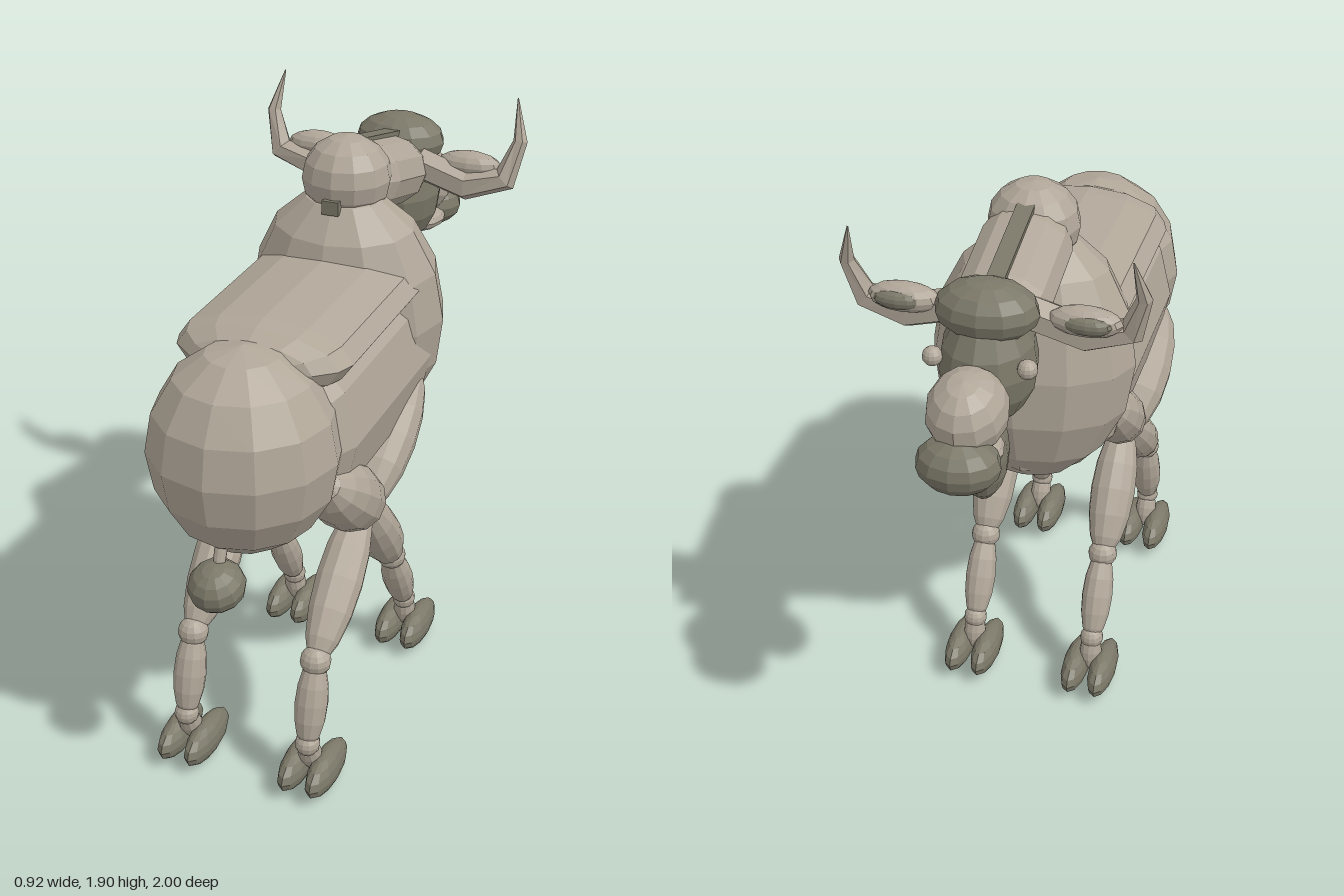
import * as THREE from 'three';

export function createModel() {
  const model = new THREE.Group();
  const mat = (name, color) => {
    const m = new THREE.MeshStandardMaterial({ color, flatShading: true });
    m.name = name;
    return m;
  };
  const hide = mat('pale hide', 0xb0a698);
  const dark = mat('dark hair and hoof', 0x7b7868);

  const add = (name, geometry, material, pos) => {
    const mesh = new THREE.Mesh(geometry, material);
    mesh.name = name;
    mesh.position.set(...pos);
    model.add(mesh);
    return mesh;
  };
  // Faceted ellipsoid, optionally pitched about x
  const blob = (name, material, pos, r, pitch = 0, ws = 12, hs = 8) => {
    const mesh = add(name, new THREE.SphereGeometry(1, ws, hs).scale(...r), material, pos);
    mesh.rotation.x = pitch;
    return mesh;
  };
  // Ellipsoid stretched between two points
  const limb = (name, material, a, b, radius, over = 0.03) => {
    const p = new THREE.Vector3(...a), q = new THREE.Vector3(...b);
    const d = q.clone().sub(p);
    const mesh = blob(name, material, p.clone().add(q).multiplyScalar(0.5).toArray(),
      [radius, d.length() / 2 + over, radius]);
    mesh.quaternion.setFromUnitVectors(new THREE.Vector3(0, 1, 0), d.normalize());
    return mesh;
  };
  // Capsule along z
  const capsuleZ = (name, pos, rx, ry, cap, length) =>
    add(name, new THREE.CapsuleGeometry(1, length / cap, 4, 12).rotateX(Math.PI / 2).scale(rx, ry, cap), hide, pos);

  // Trunk
  blob('rump', hide, [0, 1.18, 0.695], [0.295, 0.33, 0.29]);
  capsuleZ('barrel', [0, 1.17, 0.23], 0.3, 0.34, 0.14, 0.66);
  capsuleZ('backPad', [0, 1.425, 0.26], 0.28, 0.105, 0.16, 0.56);
  blob('belly', hide, [0, 1.01, 0.02], [0.24, 0.19, 0.33]);
  blob('chest', hide, [0, 1.29, -0.12], [0.33, 0.43, 0.25], 0.1);
  blob('hump', hide, [0, 1.74, -0.11], [0.145, 0.135, 0.14]);

  // Neck and mane strip
  const neck = capsuleZ('neck', [0, 1.675, -0.33], 0.145, 0.12, 0.12, 0.25);
  neck.rotation.x = -0.25;
  const mane = add('maneStrip', new THREE.BoxGeometry(0.055, 0.1, 0.4), dark, [0, 1.755, -0.33]);
  mane.rotation.x = -0.24;
  add('maneEnd', new THREE.BoxGeometry(0.055, 0.045, 0.1), dark, [0, 1.68, -0.015]);

  // Head
  blob('head', dark, [0, 1.53, -0.59], [0.145, 0.19, 0.165]);
  blob('poll', dark, [0, 1.705, -0.6], [0.155, 0.09, 0.115]);
  blob('muzzle', hide, [0, 1.49, -0.8], [0.12, 0.12, 0.135], -0.3);
  blob('nose', dark, [0, 1.375, -0.895], [0.125, 0.085, 0.103]);
  blob('lowerJaw', hide, [0, 1.355, -0.79], [0.1, 0.045, 0.11]);
  blob('beard', dark, [0, 1.245, -0.65], [0.07, 0.145, 0.11]);

  // Tail
  limb('tail', hide, [0, 1.0, 0.85], [0, 0.87, 0.9], 0.02);
  blob('tailTuft', dark, [0, 0.825, 0.912], [0.088, 0.073, 0.09], 0.3);

  // Horn: tapering hexagonal rings around a bent path
  const hornGeometry = (s) => {
    const path = [[0.1, 1.66, -0.51, 0.055], [0.27, 1.61, -0.505, 0.055], [0.4, 1.645, -0.51, 0.042],
      [0.438, 1.77, -0.54, 0.024], [0.412, 1.9, -0.58, 0.002]];
    const pts = path.map(p => new THREE.Vector3(p[0] * s, p[1], p[2]));
    const n = 6, pos = [], index = [];
    pts.forEach((p, i) => {
      const t = pts[Math.min(i + 1, 4)].clone().sub(pts[Math.max(i - 1, 0)]).normalize();
      const u = new THREE.Vector3(0, 0, 1).cross(t).normalize();
      const v = t.clone().cross(u);
      for (let k = 0; k < n; k++) {
        const a = k / n * Math.PI * 2;
        const c = p.clone().addScaledVector(u, Math.cos(a) * path[i][3]).addScaledVector(v, Math.sin(a) * path[i][3]);
        pos.push(c.x, c.y, c.z);
        if (i < 4) {
          const A = i * n + k, B = i * n + (k + 1) % n;
          index.push(A, B, A + n, B, B + n, A + n);
        }
      }
    });
    const g = new THREE.BufferGeometry();
    g.setAttribute('position', new THREE.Float32BufferAttribute(pos, 3));
    g.setIndex(index);
    g.computeVertexNormals();
    return g;
  };

  // Legs: z,y of upper end, elbow, knee, ankle and hoof centre
  const legs = {
    rear: [[0.63, 1.06], [0.27, 0.79], [0.0, 0.44], [-0.14, 0.18], -0.16],
    front: [[-0.09, 1.1], [0.28, 0.8], [0.67, 0.45], [0.74, 0.18], 0.7],
  };

  for (const [side, s] of [['left', 1], ['right', -1]]) {
    add(side + 'Horn', hornGeometry(s), hide, [0, 0, 0]);
    blob(side + 'Eye', hide, [s * 0.14, 1.575, -0.68], [0.03, 0.03, 0.03]);
    blob(side + 'Ear', hide, [s * 0.27, 1.67, -0.535], [0.11, 0.045, 0.05]);
    blob(side + 'InnerEar', dark, [s * 0.28, 1.672, -0.562], [0.075, 0.03, 0.03]);

    for (const [pair, [top, elbow, knee, ankle, hoofZ]] of Object.entries(legs)) {
      const name = side + pair[0].toUpperCase() + pair.slice(1);
      const at = ([z, y], x = 0.21) => [s * x, y, z];
      limb(name + 'UpperLeg', hide, at(top, 0.235), at(elbow, 0.215), pair === 'rear' ? 0.11 : 0.095);
      blob(name + 'Elbow', hide, at(elbow), [0.05, 0.05, 0.05]);
      limb(name + 'Forearm', hide, at(elbow), at(knee), 0.077, 0.015);
      blob(name + 'Knee', hide, at(knee), [0.05, 0.048, 0.048]);
      limb(name + 'Shank', hide, at(knee), at(ankle), 0.053, 0.015);
      blob(name + 'Ankle', hide, at(ankle), [0.04, 0.04, 0.04]);
      limb(name + 'Pastern', hide, at(ankle), at([hoofZ, 0.08]), 0.038, 0.02);
      // Cloven hoof
      for (const x of [0.163, 0.257])
        blob(name + 'Toe', dark, at([hoofZ, 0.068], x), [0.045, 0.064, 0.142]);
    }
  }
  return model;
}
